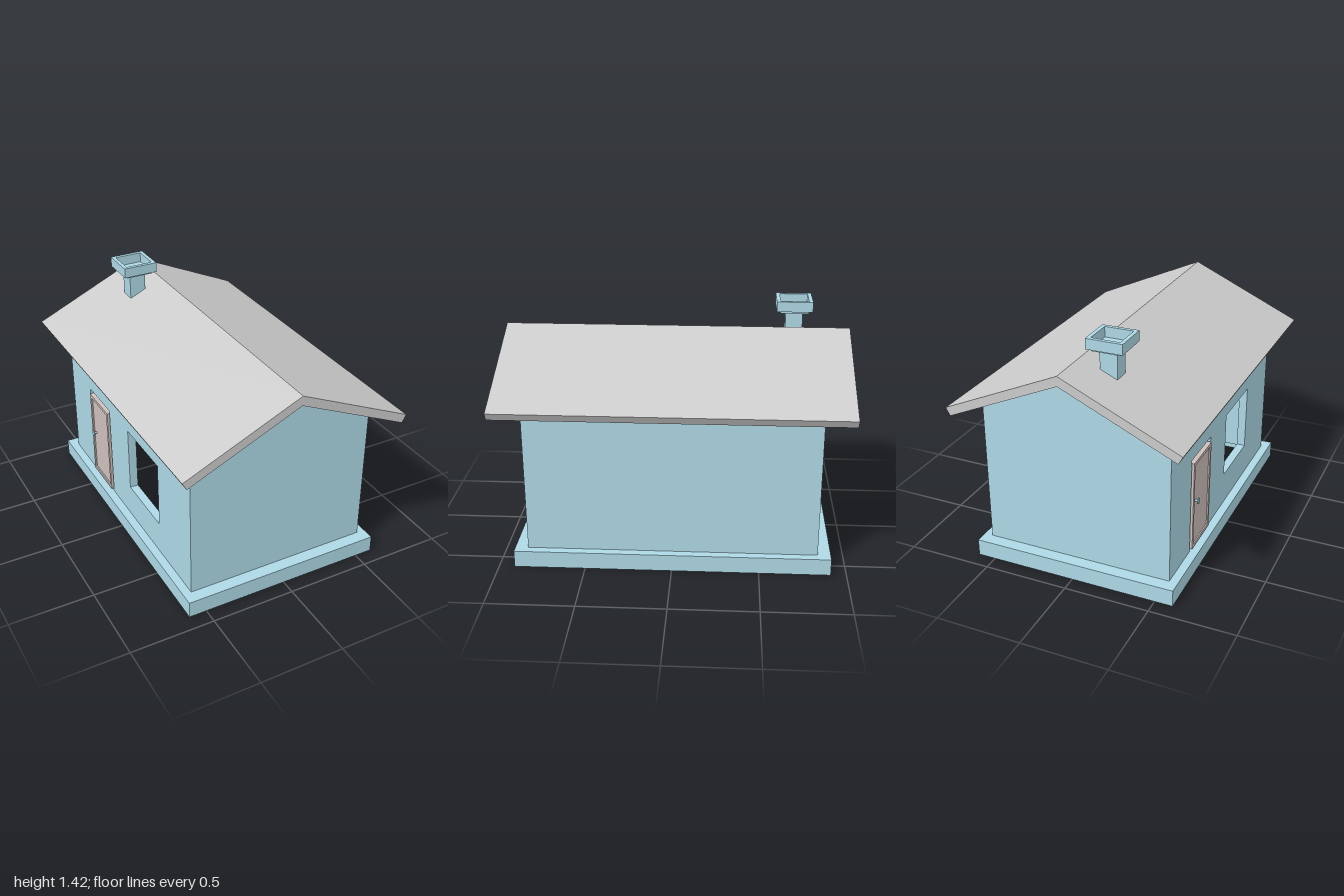
import * as THREE from 'three';

const blue = new THREE.MeshStandardMaterial({ color: 0xadd8e6 });
const blueThin = new THREE.MeshStandardMaterial({ color: 0xadd8e6, side: THREE.DoubleSide });
const grey = new THREE.MeshStandardMaterial({ color: 0xcccccc });
const doorColor = new THREE.MeshStandardMaterial({ color: 0xcdc0bc });

function part(parent, name, geometry, material, x = 0, y = 0, z = 0) {
  const mesh = new THREE.Mesh(geometry, material);
  mesh.name = name;
  mesh.position.set(x, y, z);
  parent.add(mesh);
  return mesh;
}

const polygon = (pts) => new THREE.Shape(pts.map(([x, y]) => new THREE.Vector2(x, y)));
const rect = (x0, y0, x1, y1) => polygon([[x0, y0], [x1, y0], [x1, y1], [x0, y1]]);
const extrude = (shape, depth) => new THREE.ExtrudeGeometry(shape, { depth, bevelEnabled: false });

// Rectangle centred on the origin with a rectangular hole
function ring(w, d, innerW, innerD) {
  const s = rect(-w, -d, w, d);
  s.holes.push(rect(-innerW, -innerD, innerW, innerD));
  return s;
}

const W = 0.555, D = 0.835, T = 0.05, FLOOR = 0.1, EAVE = 0.98, APEX = 1.23;

function buildBase() {
  const g = new THREE.Group();
  g.name = 'base';
  const bw = 0.605, bd = 0.91;
  // Ledge on top of an open, thin skirt
  const ledge = new THREE.ShapeGeometry(ring(bw, bd, W - T, D - T)).rotateX(-Math.PI / 2);
  part(g, 'baseLedge', ledge, blueThin, 0, FLOOR, 0);
  for (const s of [1, -1]) {
    part(g, 'baseEnd', new THREE.PlaneGeometry(bw * 2, FLOOR), blueThin, 0, FLOOR / 2, s * bd)
      .rotation.y = s > 0 ? 0 : Math.PI;
    part(g, 'baseSide', new THREE.PlaneGeometry(bd * 2, FLOOR), blueThin, s * bw, FLOOR / 2, 0)
      .rotation.y = s * Math.PI / 2;
  }
  return g;
}

function buildWalls() {
  const g = new THREE.Group();
  g.name = 'walls';
  // Gable ends
  const gable = polygon([[-W, FLOOR], [W, FLOOR], [W, EAVE], [0, APEX], [-W, EAVE]]);
  part(g, 'frontGable', extrude(gable, T), blue, 0, 0, D - T);
  part(g, 'backGable', extrude(gable, T), blue, 0, 0, -D);
  // Long walls, one of them with a doorway and a window opening
  const inner = D - T, top = EAVE + 0.015;
  const sideWall = () => rect(-inner, FLOOR, inner, top);
  const pierced = polygon([
    [-inner, FLOOR], [-0.53, FLOOR], [-0.53, 0.69], [-0.23, 0.69],
    [-0.23, FLOOR], [inner, FLOOR], [inner, top], [-inner, top],
  ]);
  pierced.holes.push(rect(0.04, 0.3, 0.44, 0.7));
  part(g, 'leftWall', extrude(sideWall(), T).rotateY(-Math.PI / 2), blue, W, 0, 0);
  part(g, 'rightWall', extrude(pierced, T).rotateY(-Math.PI / 2), blue, -W + T, 0, 0);
  return g;
}

function buildDoor() {
  const g = new THREE.Group();
  g.name = 'door';
  const z0 = -0.517, z1 = -0.243, y0 = 0.11, y1 = 0.665, rim = 0.02;
  // Raised rim around a recessed panel
  const frame = rect(z0, y0, z1, y1);
  frame.holes.push(rect(z0 + rim, y0 + rim, z1 - rim, y1 - rim));
  part(g, 'doorFrame', extrude(frame, 0.03).rotateY(-Math.PI / 2), doorColor, -0.535, 0, 0);
  part(g, 'doorPanel', new THREE.BoxGeometry(0.018, y1 - y0 - rim, z1 - z0 - rim), doorColor,
    -0.548, (y0 + y1) / 2, (z0 + z1) / 2);
  // Handle
  const rod = new THREE.CylinderGeometry(0.007, 0.007, 0.024, 12).rotateZ(Math.PI / 2);
  const knob = new THREE.CylinderGeometry(0.018, 0.018, 0.006, 16).rotateZ(Math.PI / 2);
  part(g, 'handleRod', rod, blue, -0.566, 0.405, -0.465);
  part(g, 'handleKnob', knob, blue, -0.577, 0.405, -0.465);
  return g;
}

function buildRoof() {
  const chevron = polygon([
    [-0.655, 0.935], [0, APEX], [0.655, 0.935], [0.68, 0.98], [0, 1.287], [-0.68, 0.98],
  ]);
  const g = new THREE.Group();
  g.name = 'roof';
  part(g, 'roofSlopes', extrude(chevron, 2), grey, 0, 0, -1);
  return g;
}

function buildChimney() {
  const g = new THREE.Group();
  g.name = 'chimney';
  g.position.set(-0.16, 0, -0.683);
  part(g, 'chimneyStack', new THREE.BoxGeometry(0.1, 0.2, 0.1), blue, 0, 1.245, 0);
  part(g, 'chimneyCollar', new THREE.BoxGeometry(0.165, 0.016, 0.165), blue, 0, 1.353, 0);
  // Open-topped cap
  const cap = extrude(ring(0.105, 0.105, 0.0825, 0.0825), 0.06).rotateX(-Math.PI / 2);
  part(g, 'chimneyCap', cap, blue, 0, 1.36, 0);
  return g;
}

export function createModel() {
  const model = new THREE.Group();
  model.name = 'house';
  model.add(buildBase(), buildWalls(), buildDoor(), buildRoof(), buildChimney());
  return model;
}
